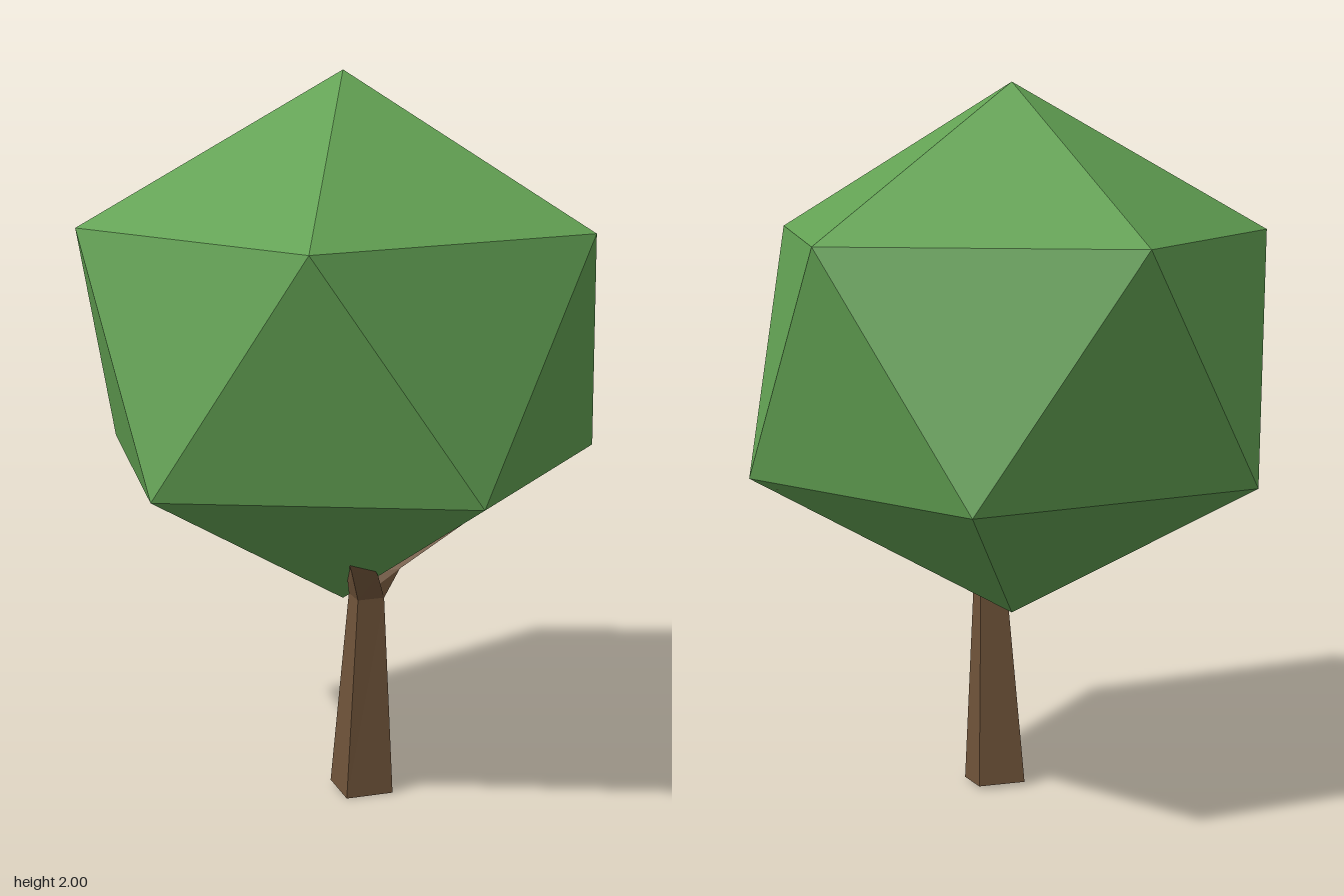
import * as THREE from 'three';
import { ConvexGeometry } from 'three/addons/geometries/ConvexGeometry.js';

// Skin four-cornered cross-sections, listed from bottom to top, and cap both ends.
function loft(rings) {
  const pos = rings.flat(2);
  const idx = [0, 2, 1, 0, 3, 2];
  const last = (rings.length - 1) * 4;
  for (let r = 0; r < last; r += 4) {
    for (let i = 0; i < 4; i++) {
      const j = (i + 1) % 4;
      idx.push(r + i, r + j, r + 4 + j, r + i, r + 4 + j, r + 4 + i);
    }
  }
  idx.push(last, last + 1, last + 2, last, last + 2, last + 3);
  const geo = new THREE.BufferGeometry();
  geo.setAttribute('position', new THREE.Float32BufferAttribute(pos, 3));
  geo.setIndex(idx);
  const flat = geo.toNonIndexed();
  flat.computeVertexNormals();
  return flat;
}

// Small diamond cross-section: front, right, back, left corners.
const diamond = (x, y, z, r) => [[x, y, z + r], [x + r, y, z], [x, y, z - r], [x - r, y, z]];

export function createModel() {
  const tree = new THREE.Group();
  tree.name = 'tree';
  const bark = new THREE.MeshStandardMaterial({ color: 0x70543a, flatShading: true });
  const leaf = new THREE.MeshStandardMaterial({ color: 0x62a153, flatShading: true });

  const add = (name, geo, mat) => {
    const mesh = new THREE.Mesh(geo, mat);
    mesh.name = name;
    tree.add(mesh);
  };

  // Crown: stretched icosahedron standing on a corner
  const points = [new THREE.Vector3(0, 2, 0), new THREE.Vector3(0, 0.526, 0)];
  for (let i = 0; i < 10; i++) {
    const a = (i * Math.PI) / 5;
    points.push(new THREE.Vector3(0.735 * Math.cos(a), i % 2 ? 0.934 : 1.592, 0.718 * Math.sin(a)));
  }
  add('crown', new ConvexGeometry(points), leaf);

  // Trunk: twisted, tapering square post leaning slightly
  const foot = [[-0.015, 0, 0.2], [0.045, 0.01, 0.085], [-0.075, 0.01, 0.02], [-0.135, 0, 0.135]];
  const neck = [[-0.037, 0.57, 0.185], [0.005, 0.57, 0.116], [-0.065, 0.57, 0.08], [-0.106, 0.57, 0.15]];
  add('trunk', loft([foot, neck]), bark);

  // Fork: a long branch to the left and a short one to the right
  const longKnee = [[0, 0.65, 0.21], [0.05, 0.66, 0.16], [0.01, 0.68, 0.11], [-0.055, 0.64, 0.16]];
  add('leftBranch', loft([neck, longKnee, diamond(0.55, 0.91, 0.35, 0.012)]), bark);
  const shortKnee = [[-0.08, 0.645, 0.2], [-0.06, 0.64, 0.15], [-0.11, 0.66, 0.11], [-0.15, 0.665, 0.165]];
  add('rightBranch', loft([neck, shortKnee, diamond(-0.28, 0.93, 0.18, 0.012)]), bark);

  return tree;
}
